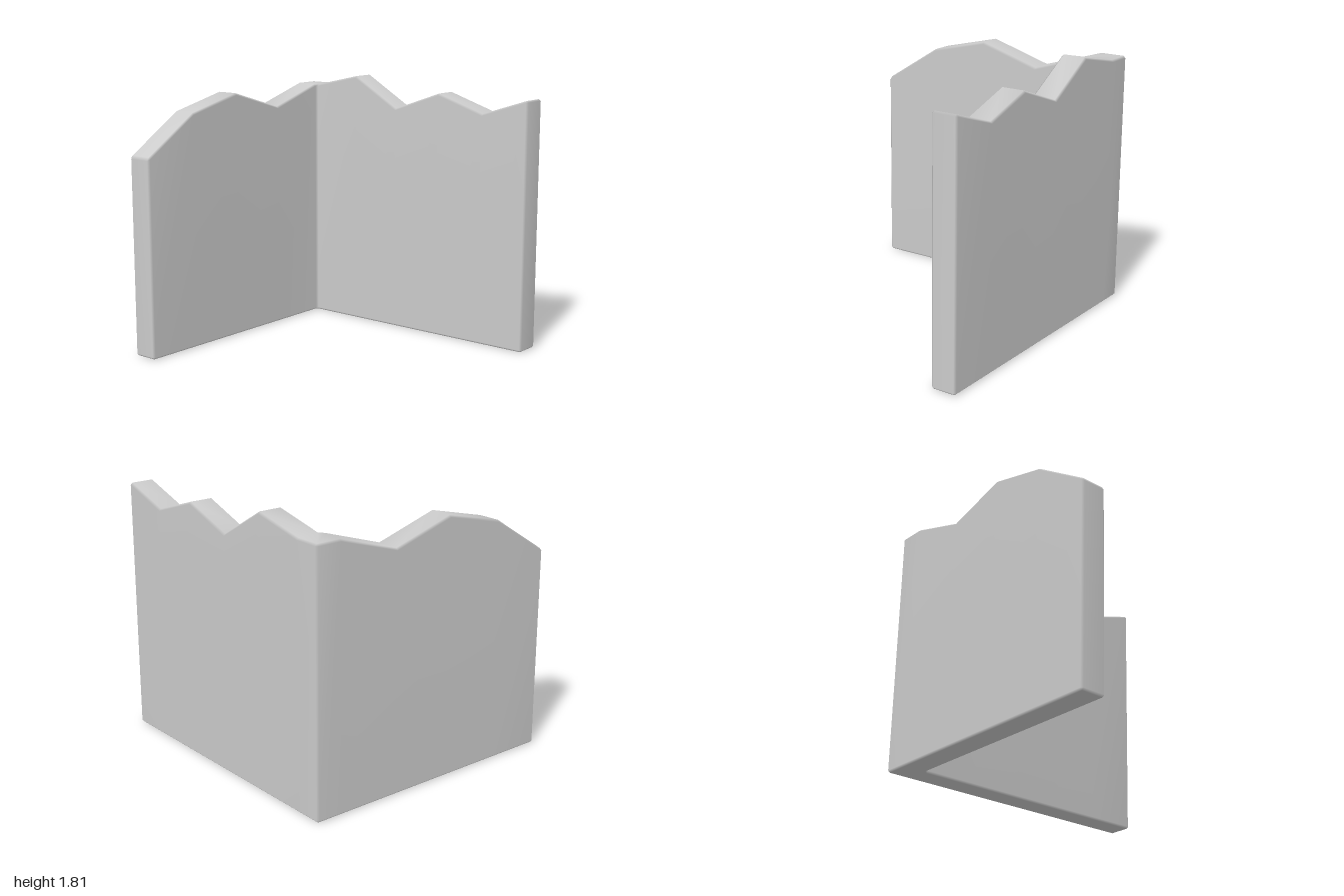
import * as THREE from 'three';
import { mergeVertices } from 'three/addons/utils/BufferGeometryUtils.js';

const B = 0.014;                       // bevel width
const X0 = 0.76, X1 = 0.94;            // side wall: inner and outer face
const Z0 = -0.82, Z1 = -1;             // back wall: inner and outer face

// Cross-section ring from plan points [x, z]: inner face, inner top edge, outer top edge, outer face
function section(inner, innerTop, outerTop, outer, top, inset = 0) {
  const low = B, high = top - B;
  const bottom = inset, crest = top - inset;
  return [
    [inner, low], [inner, high], [innerTop, crest], [outerTop, crest],
    [outer, high], [outer, low], [outerTop, bottom], [innerTop, bottom],
  ].map(([p, y]) => [p[0], y, p[1]]);
}

const backSection = (x, top) =>
  section([x, Z0], [x, Z0 - B], [x, Z1 + B], [x, Z1], top);
const sideSection = (z, top) =>
  section([X0, z], [X0 + B, z], [X1 - B, z], [X1, z], top);

function wallGeometry() {
  const crest = 1.73;
  const innerA = [[X0 - B, Z0], [X0 - B, Z0 - B]];
  const innerB = [[X0, Z0 + B], [X0 + B, Z0 + B]];
  const corner = [X1 - B, Z1 + B];

  const rings = [
    // back wall, from its free end to the corner
    section([-0.94, Z0 - B], [-0.94, Z0 - B], [-0.94, Z1 + B], [-0.94, Z1 + B], 1.365, B),
    backSection(-0.94 + B, 1.374),
    backSection(-0.52, 1.63),
    backSection(-0.1, 1.73),
    backSection(0.33, 1.6),
    // flat corner block
    section(...innerA, [X0, Z1 + B], [X0, Z1], crest),
    section(...innerA, corner, [X1 - B, Z1], crest),
    section(...innerB, corner, [X1, Z1 + B], crest),
    section(...innerB, [X1 - B, Z0], [X1, Z0], crest),
    // side wall, from the corner to its free end
    sideSection(-0.45, 1.81),
    sideSection(-0.09, 1.6),
    sideSection(0.28, 1.73),
    sideSection(0.64, 1.615),
    sideSection(1 - B, 1.727),
    section([X0 + B, 1], [X0 + B, 1], [X1 - B, 1], [X1 - B, 1], 1.73, B),
  ];

  const n = 8, index = [];
  for (let s = 0; s < rings.length - 1; s++) {
    for (let k = 0; k < n; k++) {
      const a = s * n + k, d = s * n + (k + 1) % n;
      index.push(a, a + n, d + n, a, d + n, d);
    }
  }
  // end caps
  const e = (rings.length - 1) * n;
  index.push(0, 1, 4, 0, 4, 5, e, e + 4, e + 1, e, e + 5, e + 4);

  const geometry = new THREE.BufferGeometry();
  geometry.setAttribute('position', new THREE.Float32BufferAttribute(rings.flat(2), 3));
  geometry.setIndex(index);
  const merged = mergeVertices(geometry, 1e-4);
  merged.computeVertexNormals();
  return merged;
}

export function createModel() {
  const group = new THREE.Group();
  group.name = 'brokenCornerWall';
  const wall = new THREE.Mesh(wallGeometry(), new THREE.MeshStandardMaterial({ color: 0xcccccc }));
  wall.name = 'cornerWall';
  group.add(wall);
  return group;
}
